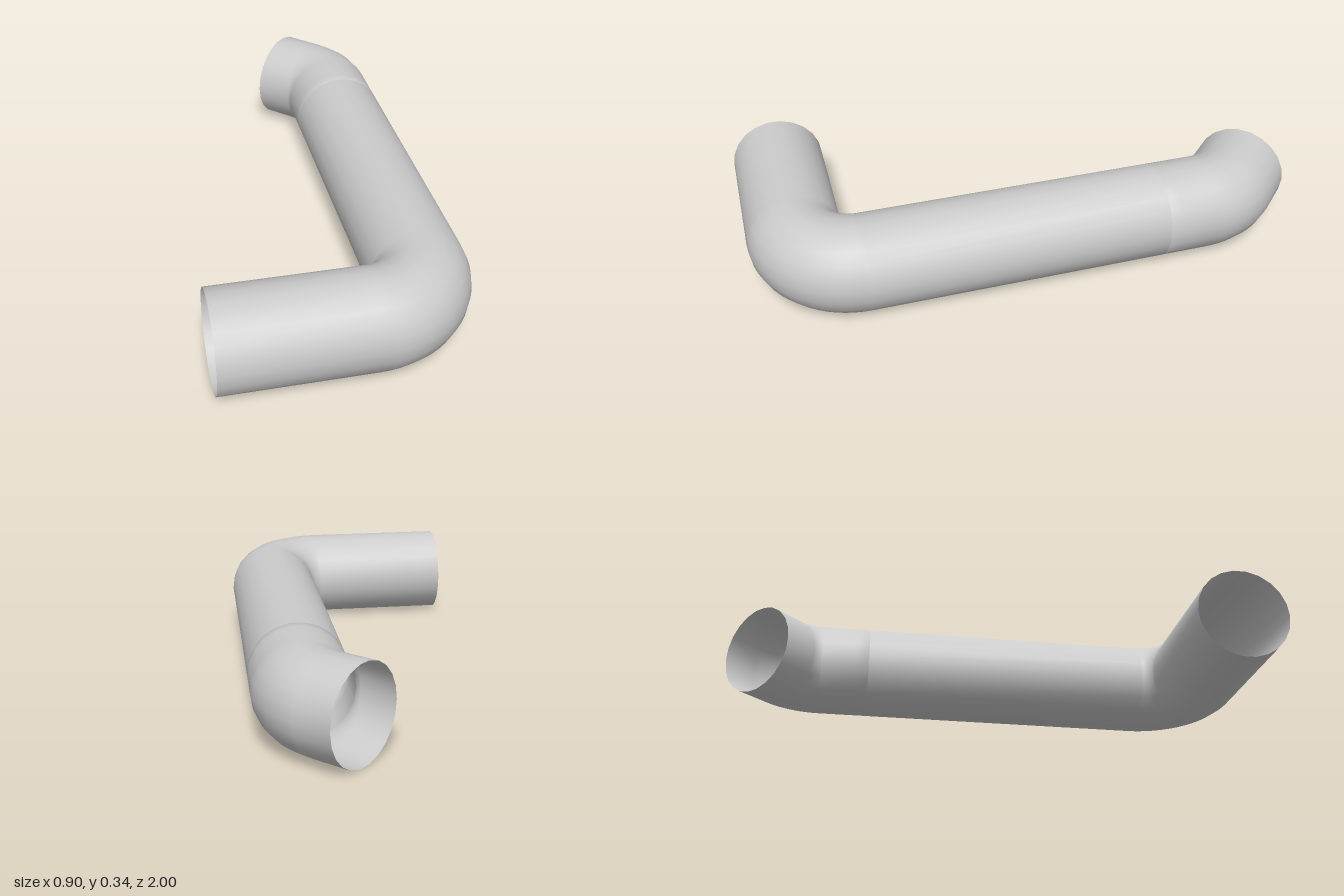
import * as THREE from 'three';

const SIDES = 22, RADIUS = 0.17, AXIS_Y = 0.169, BEND = 0.21;

// A station is a point on the pipe axis with its heading (0 = +x, 90 = -z) and radius.
function station(x, z, degrees, radius = RADIUS) {
  return { x, z, a: THREE.MathUtils.degToRad(degrees), radius };
}

// Stations along a circular bend about (cx, cz).
function bend(cx, cz, from, to, steps) {
  return Array.from({ length: steps + 1 }, (_, i) => {
    const deg = from + (to - from) * i / steps;
    const a = THREE.MathUtils.degToRad(deg);
    return station(cx + BEND * Math.sin(a), cz + BEND * Math.cos(a), deg);
  });
}

// Sweep a round cross-section through the stations, open at both ends.
function pipe(name, stations) {
  const pos = [], index = [];
  stations.forEach(({ x, z, a, radius }, i) => {
    for (let j = 0; j < SIDES; j++) {
      const t = j / SIDES * Math.PI * 2;
      const side = radius * Math.cos(t);
      pos.push(x - Math.sin(a) * side, AXIS_Y + radius * Math.sin(t), z - Math.cos(a) * side);
      if (i === stations.length - 1) continue;
      const p = i * SIDES + j, q = i * SIDES + (j + 1) % SIDES;
      index.push(p, q, p + SIDES, q, q + SIDES, p + SIDES);
    }
  });
  const geometry = new THREE.BufferGeometry();
  geometry.setAttribute('position', new THREE.Float32BufferAttribute(pos, 3));
  geometry.setIndex(index);
  geometry.computeVertexNormals();
  const mesh = new THREE.Mesh(geometry, new THREE.MeshStandardMaterial({ color: 0xcccccc, side: THREE.DoubleSide }));
  mesh.name = name;
  return mesh;
}

export function createModel() {
  const group = new THREE.Group();
  group.name = 'bentPipe';

  // Short leg, right-angle bend and long straight run
  group.add(pipe('mainPipe', [
    station(-0.453, 0.83, 0),
    ...bend(0.072, 0.62, 0, 90, 16),
    station(0.282, -0.455, 90),
  ]));

  // 45 degree end elbow, with a small inner lip at the joint
  group.add(pipe('endElbow', [
    station(0.282, -0.455, 90, RADIUS * 0.92),
    station(0.282, -0.455, 90),
    station(0.282, -0.5, 90),
    ...bend(0.072, -0.633, 90, 135, 10),
    station(0.122, -0.88, 135),
  ]));

  return group;
}
